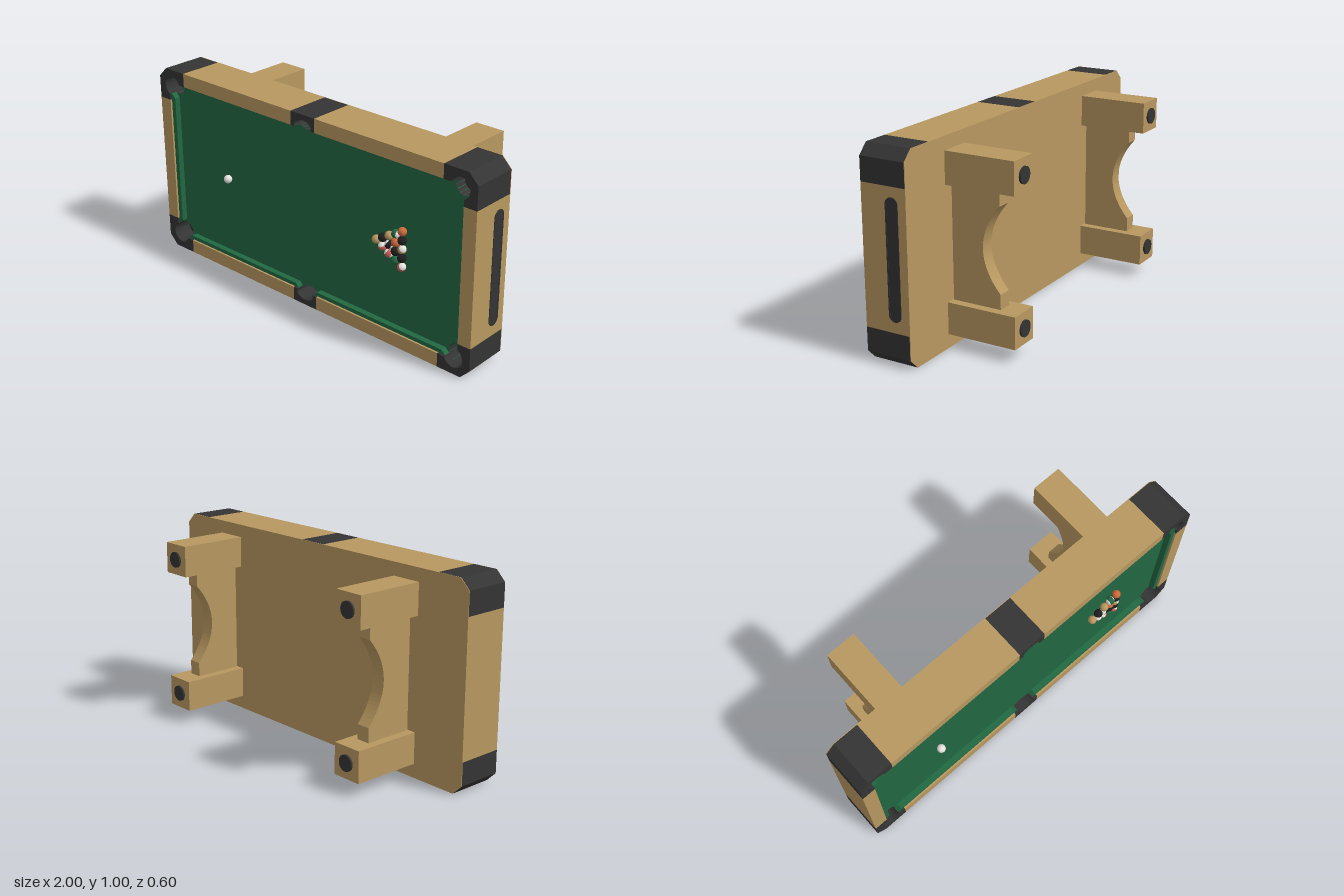
import * as THREE from 'three';

const mat = (name, color, side = THREE.FrontSide) => {
  const m = new THREE.MeshStandardMaterial({ color, side });
  m.name = name;
  return m;
};

export function createModel() {
  const wood = mat('wood', 0xb89860);
  const dark = mat('darkPlastic', 0x343434, THREE.DoubleSide);
  const felt = mat('felt', 0x216842);
  const white = mat('ballWhite', 0xe6e2de);
  const orange = mat('ballOrange', 0xcc6a3c);
  const red = mat('ballRed', 0xc9605a);
  const black = mat('ballBlack', 0x1e1e1e);

  const model = new THREE.Group();
  model.name = 'poolTable';
  // table is designed around its own centre, then lifted
  const table = new THREE.Group();
  table.name = 'table';
  table.position.y = 0.5;
  model.add(table);

  const add = (name, geo, material, parent = table) => {
    const m = new THREE.Mesh(geo, material);
    m.name = name;
    parent.add(m);
    return m;
  };
  const shapeOf = (pts) => new THREE.Shape(pts.map(([x, y]) => new THREE.Vector2(x, y)));
  const slab = (shape, z0, z1) => new THREE.ExtrudeGeometry(shape,
    { depth: z1 - z0, bevelEnabled: false, curveSegments: 24 }).translate(0, 0, z0);
  const mirrored = (pts, sx, sy) => pts.map(([x, y]) => [x * sx, y * sy]);
  // points along an ellipse between two angles
  const arc = (cx, cy, rx, ry, a0, a1, n = 18) => Array.from({ length: n + 1 }, (_, i) => {
    const a = a0 + (a1 - a0) * i / n;
    return [cx + rx * Math.cos(a), cy + ry * Math.sin(a)];
  });

  const BACK = 0.065, PANEL = 0.068, BED = 0.26, TOP = 0.3;
  const corner = { x: 0.908, y: 0.414, rx: 0.052, ry: 0.052 };
  const middle = { x: 0, y: 0.443, rx: 0.053, ry: 0.03 };

  // back panel with clipped corners
  add('backPanel', slab(shapeOf([
    [-0.95, -0.5], [0.95, -0.5], [1, -0.45], [1, 0.45],
    [0.95, 0.5], [-0.95, 0.5], [-1, 0.45], [-1, -0.45]]), BACK, PANEL), wood);

  // playing bed with six pocket holes
  const bed = shapeOf([[-0.97, -0.48], [0.97, -0.48], [0.97, 0.48], [-0.97, 0.48]]);
  const pockets = [];
  for (const sy of [-1, 1]) {
    for (const sx of [-1, 1]) pockets.push({ ...corner, x: sx * corner.x, y: sy * corner.y });
    pockets.push({ ...middle, y: sy * middle.y });
  }
  for (const p of pockets) {
    const hole = new THREE.Path();
    hole.absellipse(p.x, p.y, p.rx, p.ry, 0, Math.PI * 2, false, 0);
    bed.holes.push(hole);
    // cup below each hole
    const cup = new THREE.CylinderGeometry(1, 1, 0.062, 32, 1, true).rotateX(Math.PI / 2);
    add('pocketWall', cup.scale(p.rx, p.ry, 1).translate(p.x, p.y, BED - 0.03), dark);
    add('pocketFloor', new THREE.CircleGeometry(1, 32).scale(p.rx, p.ry, 1)
      .translate(p.x, p.y, BED - 0.06), dark);
  }
  add('bed', slab(bed, 0.195, BED), felt);

  // corner castings, wrapped around the corner pockets
  const a0 = Math.atan2(-0.047, 0.022), a1 = Math.PI - Math.atan2(0.016, 0.0495);
  const cornerPts = [[0.82, 0.5], [0.82, 0.43],
    ...arc(corner.x, corner.y, corner.rx, corner.ry, a1, a0),
    [0.93, 0.335], [1, 0.335], [1, 0.45], [0.95, 0.5]];
  // middle castings, notched by the side pockets
  const b = Math.asin((0.43 - middle.y) / middle.ry);
  const middlePts = [[-0.075, 0.5], [-0.075, 0.43],
    ...arc(0, middle.y, middle.rx, middle.ry, Math.PI - b, b),
    [0.075, 0.43], [0.075, 0.5]];

  for (const sy of [-1, 1]) {
    add('middleCasting', slab(shapeOf(mirrored(middlePts, 1, sy)), PANEL, TOP), dark);
    for (const sx of [-1, 1]) {
      add('cornerCasting', slab(shapeOf(mirrored(cornerPts, sx, sy)), PANEL, TOP), dark);
      // long rails and their cushions
      add('longRail', slab(shapeOf(mirrored(
        [[0.075, 0.43], [0.82, 0.43], [0.82, 0.5], [0.075, 0.5]], sx, sy)), PANEL, TOP), wood);
      add('longCushion', slab(shapeOf(mirrored(
        [[0.053, 0.43], [0.07, 0.41], [0.835, 0.41], [0.857, 0.43]], sx, sy)), BED, 0.29), felt);
    }
  }
  // end rails and cushions
  for (const sx of [-1, 1]) {
    add('endRail', slab(shapeOf(mirrored(
      [[0.93, -0.335], [1, -0.335], [1, 0.335], [0.93, 0.335]], sx, 1)), PANEL, TOP), wood);
    add('endCushion', slab(shapeOf(mirrored(
      [[0.93, -0.367], [0.93, 0.367], [0.905, 0.345], [0.905, -0.345]], sx, 1)), BED, 0.29), felt);
  }

  // ball return slot on the left end
  const stadium = (r, Kind) => {
    const s = new Kind();
    s.absarc(-0.14, 0.255, r, 0, Math.PI, false);
    s.absarc(-0.14, -0.25, r, Math.PI, Math.PI * 2, false);
    s.closePath();
    return s;
  };
  const rim = stadium(0.033, THREE.Shape);
  rim.holes.push(stadium(0.027, THREE.Path));
  add('slotRim', slab(rim, 0.997, 1.003).rotateY(Math.PI / 2), dark);
  add('slotPlate', slab(stadium(0.028, THREE.Shape), 0.996, 1.001).rotateY(Math.PI / 2), dark);

  // leg frames: two square legs, round feet and an arched web
  const webPts = [[-0.06, -0.28], [0.19, -0.28], [0.19, -0.203]];
  const arch = new THREE.QuadraticBezierCurve(new THREE.Vector2(0.19, -0.203),
    new THREE.Vector2(0.01, 0), new THREE.Vector2(0.19, 0.207));
  for (const p of arch.getPoints(24).slice(1)) webPts.push([p.x, p.y]);
  webPts.push([0.19, 0.284], [-0.06, 0.284]);
  for (const sx of [-1, 1]) {
    const legs = new THREE.Group();
    legs.name = 'legFrame';
    legs.position.x = sx * 0.63;
    table.add(legs);
    for (const y of [-0.353, 0.357]) {
      add('leg', new THREE.BoxGeometry(0.155, 0.156, 0.356).translate(0, y, -0.112), wood, legs);
      add('foot', new THREE.CylinderGeometry(0.04, 0.04, 0.02, 28).rotateX(Math.PI / 2)
        .translate(0, y, -0.29), dark, legs);
    }
    // shape x runs toward the back (-z) after the turn
    add('archedWeb', slab(shapeOf(webPts), -0.035, 0.035).rotateY(Math.PI / 2), wood, legs);
  }

  // balls: solid, or a coloured band between two white caps
  const R = 0.0213;
  const ball = (name, x, y, color, striped) => {
    const g = new THREE.Group();
    g.name = name;
    g.position.set(x, y, BED + R);
    table.add(g);
    if (!striped) {
      add('solidBall', new THREE.SphereGeometry(R, 20, 14), color, g);
      return;
    }
    const cuts = [0, Math.PI * 0.31, Math.PI * 0.69, Math.PI];
    for (let i = 0; i < 3; i++) {
      add(i === 1 ? 'band' : 'cap', new THREE.SphereGeometry(R, 20, 6, 0, Math.PI * 2,
        cuts[i], cuts[i + 1] - cuts[i]), i === 1 ? color : white, g);
    }
    g.rotation.set(0.5, 0, x * 20);
  };
  ball('cueBall', -0.543, 0.004, white, false);
  const rack = [
    [[wood]],
    [[red, true], [black]],
    [[red, true], [black, true], [wood]],
    [[felt], [black], [orange], [felt, true]],
    [[red, true], [black], [wood, true], [black], [orange]],
  ];
  rack.forEach((row, i) => row.forEach(([color, striped], j) =>
    ball('rackBall', 0.438 + i * 0.0378, 0.006 + (j - i / 2) * 0.0445, color, striped)));

  return model;
}
